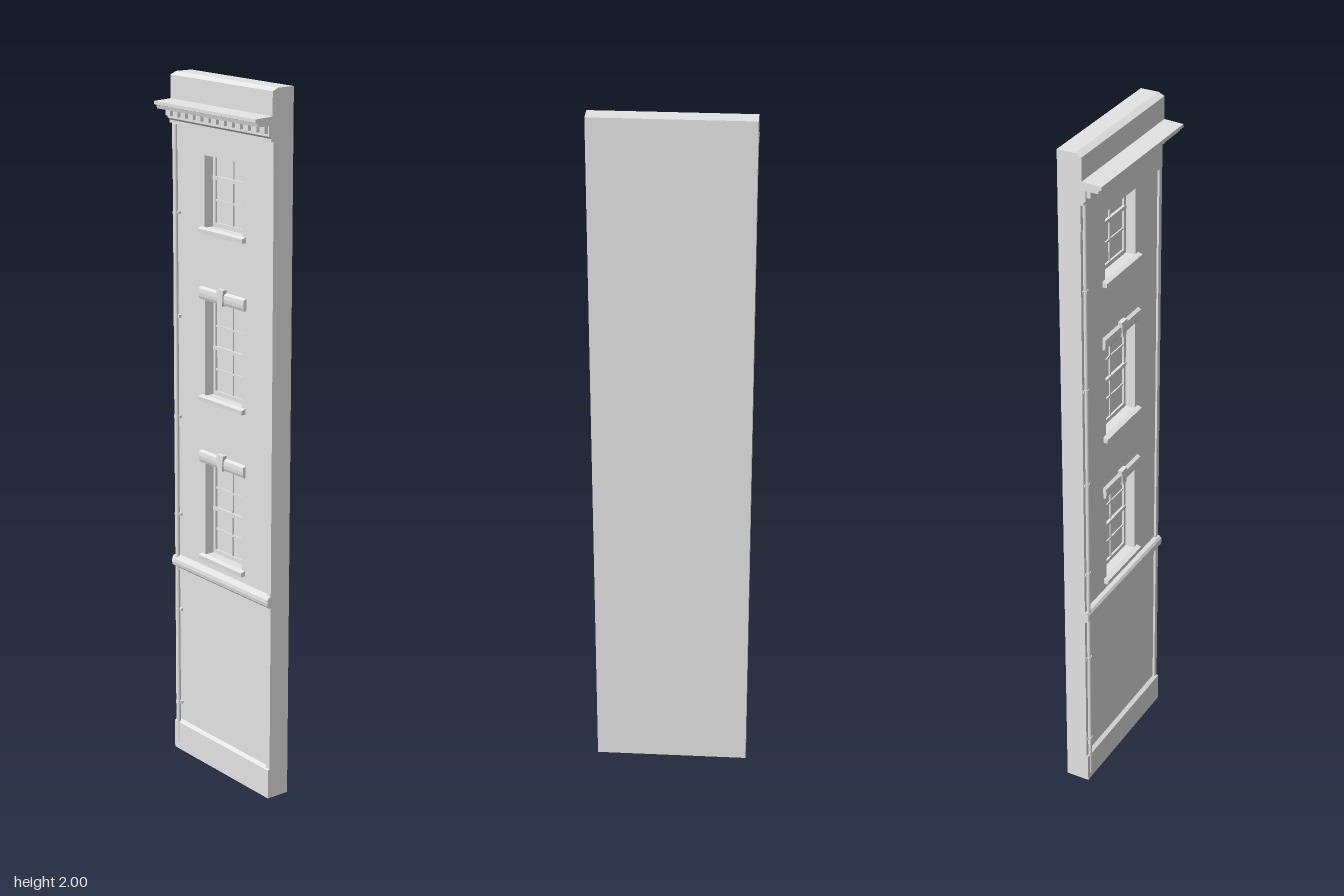
import * as THREE from 'three';

const stone = new THREE.MeshStandardMaterial({ color: 0xe4e4e4 });
stone.name = 'pale stone';

const W = 0.44;        // facade width
const BACK = -0.064;   // rear plane
const WALL = -0.005;   // recessed wall face
const GLASS = -0.04;   // window pane plane

export function createModel() {
  const model = new THREE.Group();
  model.name = 'townhouseFacade';

  const add = (name, geometry, parent = model) => {
    const mesh = new THREE.Mesh(geometry, stone);
    mesh.name = name;
    parent.add(mesh);
    return mesh;
  };
  // Box given by its limits on each axis
  const box = (name, x0, x1, y0, y1, z0, z1, parent) =>
    add(name, new THREE.BoxGeometry(x1 - x0, y1 - y0, z1 - z0)
      .translate((x0 + x1) / 2, (y0 + y1) / 2, (z0 + z1) / 2), parent);
  // Moulding: a [z, y] profile run along x
  const moulding = (name, width, profile, parent) => {
    const shape = new THREE.Shape(profile.map(([z, y]) => new THREE.Vector2(z, y)));
    const geometry = new THREE.ExtrudeGeometry(shape, { depth: width, bevelEnabled: false });
    return add(name, geometry.rotateY(-Math.PI / 2).translate(width / 2, 0, 0), parent);
  };

  const windows = [
    { y0: 0.645, y1: 0.92, head: true },
    { y0: 1.115, y1: 1.39, head: true },
    { y0: 1.59, y1: 1.79, head: false },
  ];
  const HW = 0.083; // half width of an opening

  // Wall with window openings, closed behind by a solid slab
  const wall = new THREE.Shape();
  wall.moveTo(-W / 2, 0).lineTo(W / 2, 0).lineTo(W / 2, 1.9).lineTo(-W / 2, 1.9).closePath();
  for (const { y0, y1 } of windows) {
    const hole = new THREE.Path();
    hole.moveTo(-HW, y0).lineTo(-HW, y1).lineTo(HW, y1).lineTo(HW, y0).closePath();
    wall.holes.push(hole);
  }
  add('wall', new THREE.ExtrudeGeometry(wall, { depth: WALL - GLASS, bevelEnabled: false })
    .translate(0, 0, GLASS));
  box('backWall', -W / 2, W / 2, 0, 1.9, BACK, GLASS);
  // Parapet with a weathered front edge
  moulding('parapet', W, [[BACK, 1.9], [0.006, 1.9], [0.006, 1.992], [-0.012, 2], [BACK, 2]]);

  // Edge strips and the frieze framing the upper and lower walls
  for (const s of [-1, 1]) {
    const a = s * 0.205, b = s * W / 2;
    box('edgeStrip', Math.min(a, b), Math.max(a, b), 0, 1.79, WALL, 0.001);
  }
  box('frieze', -W / 2, W / 2, 1.79, 1.9, WALL, 0.002);
  box('lowerBand', -0.205, 0.205, 0.565, 0.58, WALL, 0.001);

  // Plinth and rounded string course
  moulding('plinth', W, [[WALL, 0], [0.006, 0], [0.006, 0.086], [WALL, 0.093]]);
  moulding('stringCourse', W, [[WALL, 0.575], [0.006, 0.575], [0.011, 0.58], [0.013, 0.59],
    [0.012, 0.6], [0.007, 0.607], [WALL, 0.61]]);

  // Stepped cornice with a row of dentils under the projecting slab
  moulding('bedMoulding', W, [[0, 1.862], [0.01, 1.862], [0.01, 1.87], [0.017, 1.876],
    [0.017, 1.906], [0, 1.906]]);
  moulding('corniceSlab', W, [[0, 1.904], [0.052, 1.904], [0.055, 1.914], [0.062, 1.916],
    [0.062, 1.925], [0, 1.928]]);
  for (let i = 0; i < 13; i++) {
    const x = (i - 6) * 0.034;
    box('dentil', x - 0.011, x + 0.011, 1.884, 1.904, 0.015, 0.028);
  }

  // Sash windows
  for (const { y0, y1, head } of windows) {
    const win = new THREE.Group();
    win.name = 'sashWindow';
    model.add(win);
    const rail = y0 + 0.135;
    const zf = GLASS + 0.006, zb = GLASS + 0.004;
    // Frame and meeting rail
    for (const s of [-1, 1]) {
      const x = s * (HW - 0.005);
      box('frameSide', x - 0.005, x + 0.005, y0, y1, GLASS, zf, win);
    }
    box('frameBottom', -HW, HW, y0, y0 + 0.012, GLASS, zf, win);
    box('frameTop', -HW, HW, y1 - 0.008, y1, GLASS, zf, win);
    box('meetingRail', -HW, HW, rail - 0.005, rail + 0.005, GLASS, zf + 0.002, win);
    // Glazing bars
    box('verticalBar', -0.003, 0.003, y0, y1, GLASS, zb, win);
    for (const y of [rail - 0.062, rail + 0.062]) {
      if (y < y1 - 0.015) box('crossBar', -HW, HW, y - 0.003, y + 0.003, GLASS, zb, win);
    }
    // Sill with weathered top
    moulding('sill', 0.196, [[WALL, y0 - 0.014], [0.008, y0 - 0.014], [0.009, y0 - 0.002],
      [WALL, y0 + 0.002]], win);
    if (!head) continue;
    // Rounded lintel with keystone
    moulding('lintel', 0.2, [[WALL, y1], [0.001, y1], [0.004, y1 + 0.008], [0.005, y1 + 0.018],
      [0.004, y1 + 0.03], [WALL, y1 + 0.035]], win);
    const key = new THREE.Shape();
    key.moveTo(-0.01, y1 - 0.002).lineTo(0.01, y1 - 0.002)
      .lineTo(0.015, y1 + 0.043).lineTo(-0.015, y1 + 0.043).closePath();
    add('keystone', new THREE.ExtrudeGeometry(key, { depth: 0.013, bevelEnabled: false })
      .translate(0, 0, WALL), win);
  }

  // Downpipe with wall clips
  const pipeX = -0.204, pipeZ = 0.004;
  add('downpipe', new THREE.CylinderGeometry(0.006, 0.006, 1.84, 16)
    .translate(pipeX, 0.94, pipeZ));
  for (let i = 0; i < 6; i++) {
    const y = 0.15 + i * 0.293;
    add('pipeClip', new THREE.CylinderGeometry(0.008, 0.008, 0.008, 16)
      .translate(pipeX, y, pipeZ));
    box('clipPlate', pipeX - 0.012, pipeX + 0.012, y - 0.004, y + 0.004, WALL, 0.003);
  }

  return model;
}
